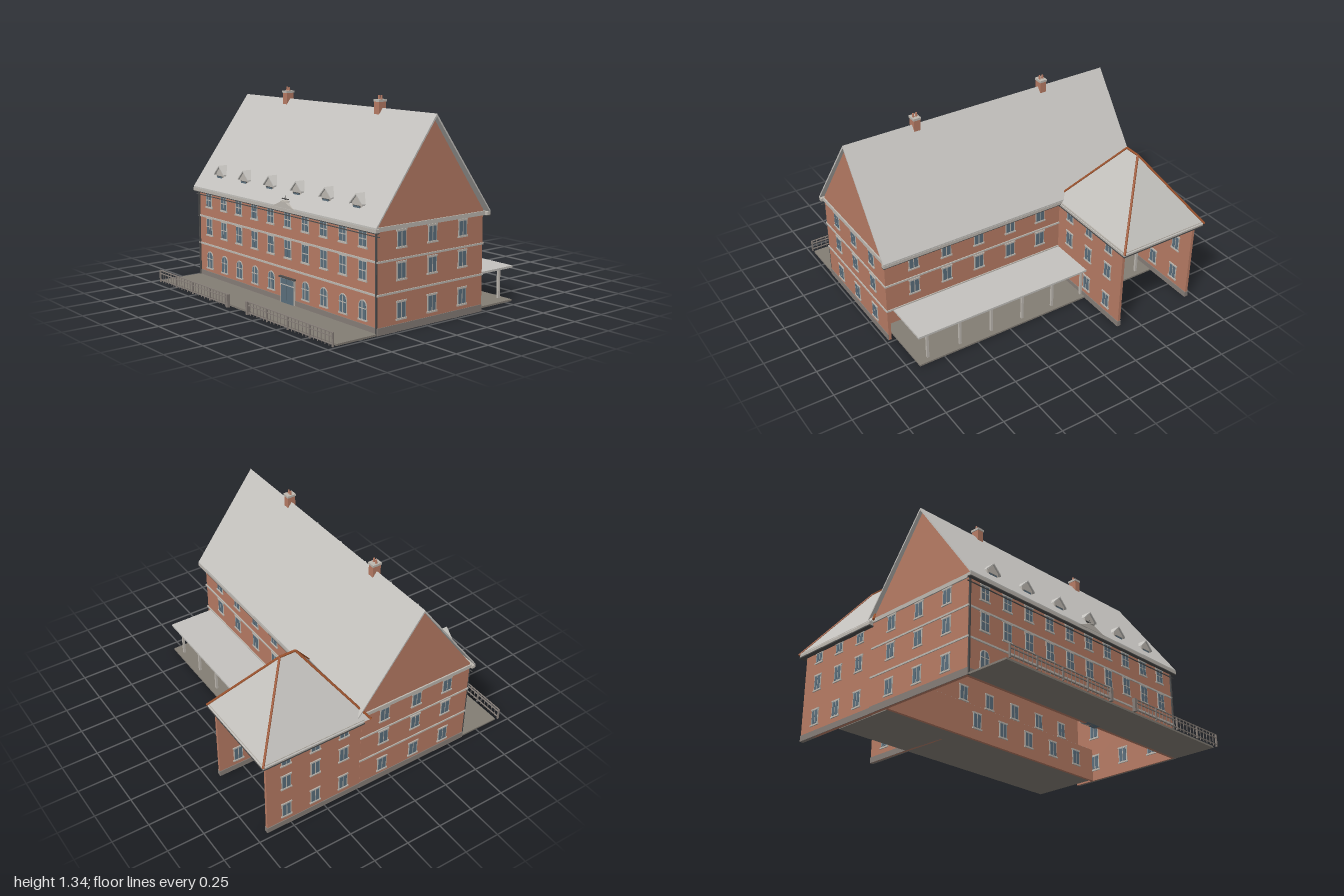
import * as THREE from 'three';

const mat = (name, color, side = THREE.FrontSide) => {
  const m = new THREE.MeshStandardMaterial({ color, side });
  m.name = name;
  return m;
};

export function createModel() {
  const root = new THREE.Group();
  root.name = 'brickManor';
  const brick = mat('brick', 0xb77b64);
  const roofing = mat('roofing', 0xc4c2be, THREE.DoubleSide);
  const trim = mat('trim', 0xbdb8b0);
  const glass = mat('glass', 0x5a6e7c);
  const stone = mat('stone', 0x857d77);
  const paving = mat('paving', 0x837d74);
  const dark = mat('darkMetal', 0x4c4c4c);
  const tile = mat('ridgeTile', 0xa0552f);

  const group = (name, parent = root) => {
    const g = new THREE.Group();
    g.name = name;
    parent.add(g);
    return g;
  };
  const add = (parent, name, geo, m, x = 0, y = 0, z = 0) => {
    const mesh = new THREE.Mesh(geo, m);
    mesh.name = name;
    mesh.position.set(x, y, z);
    parent.add(mesh);
    return mesh;
  };
  // Box given by its limits on each axis
  const span = (parent, name, m, x0, x1, y0, y1, z0, z1) =>
    add(parent, name, new THREE.BoxGeometry(x1 - x0, y1 - y0, z1 - z0), m,
      (x0 + x1) / 2, (y0 + y1) / 2, (z0 + z1) / 2);
  // Profile in (z, y) swept along x from x0 to x1
  const sweepX = (parent, name, m, pts, x0, x1) => {
    const shape = new THREE.Shape(pts.map(p => new THREE.Vector2(p[0], p[1])));
    const geo = new THREE.ExtrudeGeometry(shape, { depth: x1 - x0, bevelEnabled: false });
    const mesh = add(parent, name, geo, m, x1, 0, 0);
    mesh.rotation.y = -Math.PI / 2;
    return mesh;
  };
  const strut = (parent, name, m, a, b, r) => {
    const d = new THREE.Vector3().subVectors(b, a);
    const mesh = add(parent, name, new THREE.CylinderGeometry(r, r, d.length(), 6), m);
    mesh.position.addVectors(a, b).multiplyScalar(0.5);
    mesh.quaternion.setFromUnitVectors(new THREE.Vector3(0, 1, 0), d.normalize());
  };

  // Window through the wall: frame, glass panes, sill and lintel
  const windows = group('windows');
  const addWindow = (x, z, turn, y0, y1, { arch = false, cols = 2, rows = 1, w = 0.072 } = {}) => {
    const g = group('window', windows);
    g.position.set(x, y0, z);
    g.rotation.y = turn;
    const h = y1 - y0, T = 0.028;
    if (arch) {
      const outline = (r, depth, m, name) => {
        const s = new THREE.Shape();
        const top = h - w / 2;
        s.moveTo(-r, 0).lineTo(r, 0).lineTo(r, top).absarc(0, top, r, 0, Math.PI, false);
        add(g, name, new THREE.ExtrudeGeometry(s, { depth, bevelEnabled: false, curveSegments: 8 }), m, 0, 0, -depth / 2);
      };
      outline(w / 2, T, trim, 'archFrame');
      outline(w / 2 - 0.006, T + 0.003, glass, 'archGlass');
      span(g, 'mullion', trim, -0.003, 0.003, 0, h - 0.006, -0.018, 0.018);
      span(g, 'transom', trim, -w / 2, w / 2, h * 0.55, h * 0.55 + 0.005, -0.018, 0.018);
    } else {
      span(g, 'frame', trim, -w / 2, w / 2, 0, h, -T / 2, T / 2);
      const e = 0.007, cw = (w - e) / cols, rh = (h - e) / rows;
      for (let i = 0; i < cols; i++) for (let j = 0; j < rows; j++)
        span(g, 'pane', glass, -w / 2 + e + i * cw, -w / 2 + (i + 1) * cw,
          e + j * rh, (j + 1) * rh, -T / 2 - 0.002, T / 2 + 0.002);
      span(g, 'lintel', trim, -w / 2 - 0.005, w / 2 + 0.005, h - 0.004, h + 0.006, -0.016, 0.016);
    }
    span(g, 'sill', trim, -w / 2 - 0.006, w / 2 + 0.006, -0.007, 0.003, -0.018, 0.018);
  };

  // Main block walls
  const main = group('mainBlock');
  span(main, 'frontWall', brick, -0.96, 0.975, 0, 0.64, 0.60, 0.62);
  span(main, 'backWall', brick, -0.96, 0.975, 0.225, 0.64, -0.23, -0.21);
  span(main, 'recessedBackWall', brick, -0.94, 0.955, 0, 0.23, -0.10, -0.08);
  const gable = [[-0.23, 0], [0.62, 0], [0.62, 0.65], [0.195, 1.24], [-0.23, 0.65]];
  sweepX(main, 'leftGable', brick, gable, 0.956, 0.976);
  sweepX(main, 'rightGable', brick, gable, -0.961, -0.941);

  // Plinth, string courses and cornice
  const courses = [[0, 0.045, 0.005, stone, 'plinth'], [0.232, 0.244, 0.007, trim, 'stringCourse'],
    [0.428, 0.44, 0.007, trim, 'stringCourse'], [0.612, 0.638, 0.01, trim, 'cornice']];
  courses.forEach(([y0, y1, o, m, name], i) => {
    span(main, name, m, -0.96 - o, 0.975 + o, y0, y1, 0.61, 0.62 + o);
    if (i > 0) span(main, name, m, -0.96 - o, 0.975 + o, y0, y1, -0.23 - o, -0.22);
    span(main, name, m, 0.965, 0.975 + o, y0, y1, -0.23, 0.62);
    span(main, name, m, -0.96 - o, -0.95, y0, y1, -0.23, 0.62);
  });
  for (const z of [0.64, -0.26]) {
    span(main, 'eaveBoard', trim, -0.98, 1, 0.612, 0.632, z - 0.014, z + 0.014);
    span(main, 'gutter', dark, -0.98, 1, 0.606, 0.613, z - 0.012, z + 0.012);
  }
  span(main, 'frontCable', dark, -0.98, 1, 0.583, 0.588, 0.626, 0.632);
  for (const x of [-0.955, 0.97])
    span(main, 'downpipe', dark, x - 0.005, x + 0.005, 0, 0.61, 0.62, 0.63);

  // Main roof
  sweepX(main, 'mainRoof', roofing, [[0.652, 0.628], [0.652, 0.642], [0.19, 1.265], [-0.272, 0.642],
    [-0.272, 0.628], [0.19, 1.247]], -0.98, 1);

  // Front windows and door
  const bays = [-0.83, -0.643, -0.457, -0.271, -0.085, 0.101, 0.287, 0.473, 0.659, 0.845];
  bays.forEach((x, i) => {
    addWindow(x, 0.61, 0, 0.505, 0.606, { rows: 2 });
    addWindow(x, 0.61, 0, 0.308, 0.428, { rows: 2 });
    if (i !== 5) addWindow(x, 0.61, 0, 0.072, 0.192, { arch: true });
  });
  const door = group('frontDoor');
  span(door, 'doorFrame', trim, 0.025, 0.177, 0, 0.182, 0.59, 0.63);
  for (const x of [0.035, 0.104]) {
    span(door, 'doorLeaf', glass, x, x + 0.064, 0, 0.128, 0.588, 0.633);
    span(door, 'doorLight', glass, x, x + 0.064, 0.136, 0.17, 0.588, 0.633);
  }
  span(door, 'doorHood', dark, 0.018, 0.184, 0.174, 0.184, 0.61, 0.638);

  // Side and back windows
  const side = Math.PI / 2;
  const floors = [[0.075, 0.18], [0.312, 0.415], [0.503, 0.604]];
  for (const [y0, y1] of floors)
    for (const z of [0.44, 0.195, -0.056]) {
      addWindow(0.966, z, side, y0, y1);
      addWindow(-0.951, z, side, y0, y1);
    }
  for (const x of [0.77, 0.53, 0.285, 0.04, -0.2]) {
    for (const [y0, y1] of floors.slice(1)) addWindow(x, -0.22, 0, y0, y1);
    addWindow(x, -0.09, 0, ...floors[0]);
  }

  // Rear wing, open at its far end
  const wing = group('rearWing');
  for (const x of [-0.95, -0.37]) {
    span(wing, 'wingWall', brick, x - 0.01, x + 0.01, 0, 0.625, -0.92, -0.23);
    span(wing, 'wingPlinth', stone, x - 0.014, x + 0.014, 0, 0.04, -0.922, -0.23);
    for (const [y0, y1] of [[0.08, 0.185], [0.32, 0.425], [0.515, 0.585]])
      for (const z of [-0.36, -0.57, -0.78]) addWindow(x, z, side, y0, y1, { w: 0.068 });
  }
  const V = (x, y, z) => new THREE.Vector3(x, y, z);
  const e = [V(-1, 0.61, -0.19), V(-0.34, 0.61, -0.19), V(-0.34, 0.61, -0.96), V(-1, 0.61, -0.96)];
  const r = [V(-0.67, 1.07, -0.52), V(-0.67, 1.07, -0.63)];
  const faces = [[e[0], e[1], r[0]], [e[1], e[2], r[1]], [e[1], r[1], r[0]],
    [e[2], e[3], r[1]], [e[3], e[0], r[0]], [e[3], r[0], r[1]]];
  const hip = new THREE.BufferGeometry().setFromPoints(faces.flat());
  hip.computeVertexNormals();
  add(wing, 'hipRoof', hip, roofing);
  strut(wing, 'ridgeTiles', tile, r[0], r[1], 0.008);
  e.forEach((p, i) => strut(wing, 'hipTiles', tile, p, r[i < 2 ? 0 : 1], 0.008));
  const eave = (x0, x1, z0, z1) => {
    span(wing, 'wingEave', trim, x0, x1, 0.592, 0.622, z0, z1);
    span(wing, 'wingGutter', dark, x0 - 0.002, x1 + 0.002, 0.585, 0.593, z0 - 0.002, z1 + 0.002);
  };
  eave(-0.995, -0.965, -0.955, -0.235);
  eave(-0.355, -0.342, -0.955, -0.235);
  eave(-0.995, -0.342, -0.955, -0.935);

  // Rear veranda running through the wing
  const veranda = group('veranda');
  span(veranda, 'verandaFloor', paving, -0.93, 0.93, 0, 0.012, -0.56, -0.09);
  span(veranda, 'verandaRoof', roofing, -0.93, 0.93, 0.222, 0.236, -0.56, -0.09);
  for (let i = 0; i < 8; i++) {
    const x = 0.85 - i * 0.24;
    span(veranda, 'verandaPost', trim, x - 0.008, x + 0.008, 0.01, 0.224, -0.525, -0.509);
  }

  // Front terrace and railing
  const terrace = group('terrace');
  span(terrace, 'terraceFloor', paving, -0.96, 0.975, 0, 0.012, 0.62, 0.92);
  for (const [x0, x1] of [[-0.96, -0.1], [0.115, 0.975]]) {
    for (const y of [0.012, 0.058, 0.08])
      span(terrace, 'rail', stone, x0, x1, y, y + 0.005, 0.942, 0.95);
    const n = 24;
    for (let i = 0; i <= n; i++) {
      const x = x0 + (x1 - x0) * i / n;
      const w = i % 6 === 0 ? 0.005 : 0.0018;
      span(terrace, 'baluster', stone, x - w, x + w, 0, 0.084, 0.946 - w, 0.946 + w);
    }
  }
  for (const x of [-0.105, 0.12])
    span(terrace, 'gatePost', stone, x - 0.01, x + 0.01, 0, 0.085, 0.936, 0.956);

  // Dormers
  for (const x of [-0.735, -0.437, -0.14, 0.157, 0.455, 0.752]) {
    const d = group('dormer');
    d.position.x = x;
    const s = new THREE.Shape();
    s.moveTo(-0.045, 0.68).lineTo(0.045, 0.68).lineTo(0.045, 0.75).lineTo(0, 0.795).lineTo(-0.045, 0.75);
    add(d, 'dormerBody', new THREE.ExtrudeGeometry(s, { depth: 0.08, bevelEnabled: false }), trim, 0, 0, 0.51);
    const c = new THREE.Shape();
    c.moveTo(-0.06, 0.738).lineTo(0, 0.796).lineTo(0.06, 0.738).lineTo(0.06, 0.747).lineTo(0, 0.806).lineTo(-0.06, 0.747);
    add(d, 'dormerRoof', new THREE.ExtrudeGeometry(c, { depth: 0.09, bevelEnabled: false }), roofing, 0, 0, 0.51);
    span(d, 'dormerFrame', dark, -0.034, 0.034, 0.7, 0.734, 0.586, 0.592);
    for (const k of [-0.016, 0.016])
      span(d, 'dormerPane', glass, k - 0.014, k + 0.014, 0.703, 0.731, 0.588, 0.594);
  }

  // Central pediment with finial
  const ped = group('pediment');
  ped.position.x = 0.1;
  const ps = new THREE.Shape();
  ps.moveTo(-0.125, 0.635).lineTo(0.125, 0.635).quadraticCurveTo(0.07, 0.65, 0, 0.685)
    .quadraticCurveTo(-0.07, 0.65, -0.125, 0.635);
  add(ped, 'pedimentFace', new THREE.ExtrudeGeometry(ps, { depth: 0.05, bevelEnabled: false }), trim, 0, 0, 0.605);
  add(ped, 'finialDisc', new THREE.CylinderGeometry(0.036, 0.036, 0.006, 16), trim, 0, 0.675, 0.63);
  add(ped, 'finialSpike', new THREE.ConeGeometry(0.006, 0.045, 8), dark, 0, 0.695, 0.638);
  span(ped, 'finialBar', dark, -0.035, 0.035, 0.688, 0.693, 0.635, 0.641);

  // Chimneys
  for (const x of [-0.478, 0.49]) {
    const c = group('chimney');
    c.position.set(x, 0, 0.19);
    span(c, 'stack', brick, -0.023, 0.023, 1.19, 1.305, -0.029, 0.029);
    span(c, 'cap', trim, -0.027, 0.027, 1.303, 1.318, -0.033, 0.033);
    for (const k of [-0.011, 0.011])
      add(c, 'pot', new THREE.CylinderGeometry(0.006, 0.008, 0.026, 8), brick, k, 1.33, 0);
  }
  return root;
}
